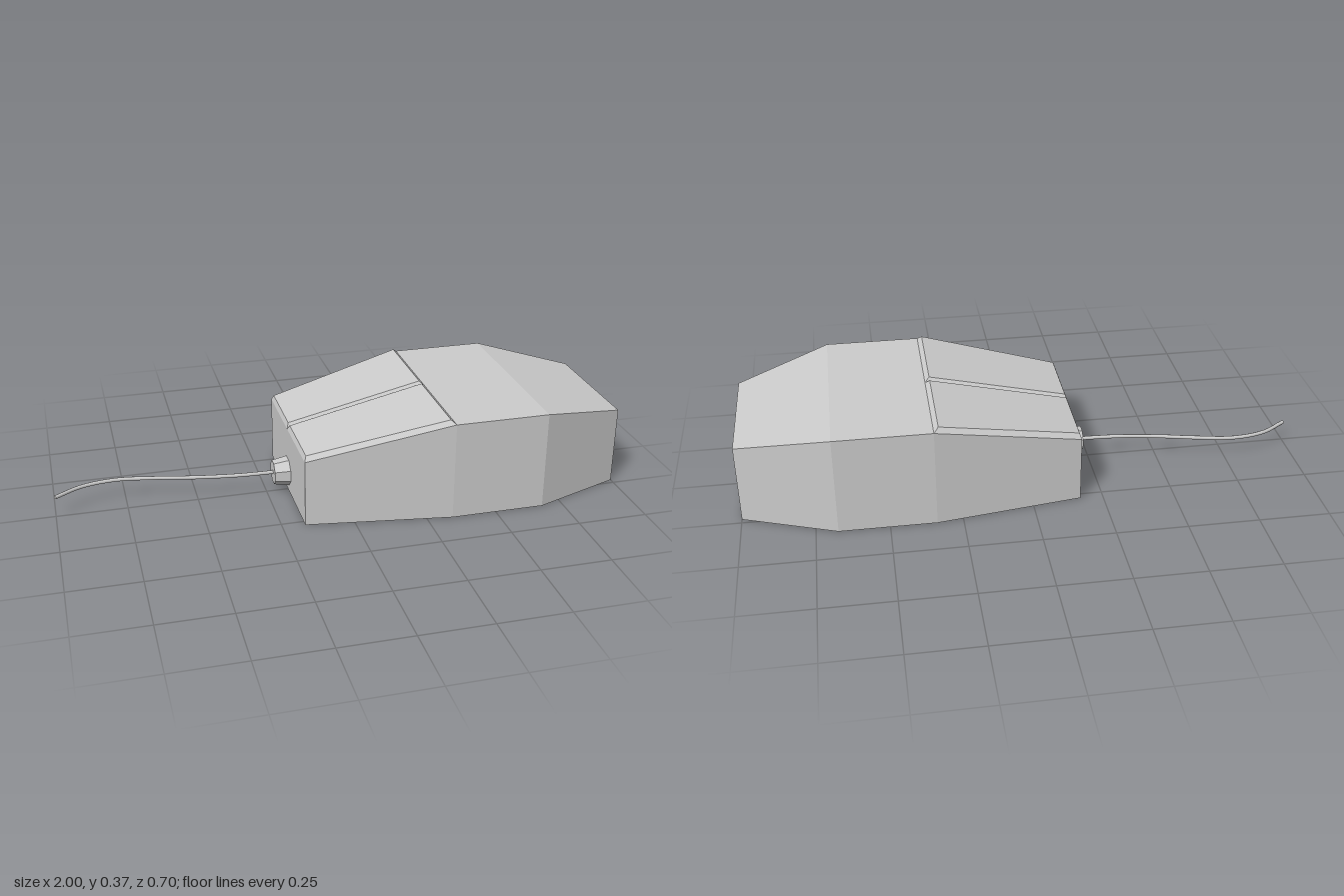
import * as THREE from 'three';

// Skin closed rings of corners with flat faces; rings run counter-clockwise seen from the last ring's end.
function loft(rings) {
  const pos = [];
  const tri = (a, b, c) => pos.push(...a, ...b, ...c);
  const quad = (a, b, c, d) => { tri(a, b, c); tri(a, c, d); };
  for (let i = 0; i < rings.length - 1; i++) {
    const r = rings[i], s = rings[i + 1];
    for (let k = 0; k < 4; k++) {
      const n = (k + 1) % 4;
      quad(r[k], r[n], s[n], s[k]);
    }
  }
  quad(...[...rings[0]].reverse());
  quad(...rings[rings.length - 1]);
  const g = new THREE.BufferGeometry();
  g.setAttribute('position', new THREE.Float32BufferAttribute(pos, 3));
  g.computeVertexNormals();
  return g;
}

export function createModel() {
  const model = new THREE.Group();
  model.name = 'computerMouse';
  const grey = new THREE.MeshStandardMaterial({ color: 0xcccccc });
  grey.name = 'lightGrey';
  const add = (name, geometry) => {
    const mesh = new THREE.Mesh(geometry, grey);
    mesh.name = name;
    model.add(mesh);
    return mesh;
  };

  // Body: [x, half width, top height]
  const sections = [[-0.17, 0.275, 0.24], [0.34, 0.35, 0.355], [0.675, 0.35, 0.355], [1, 0.229, 0.283]];
  add('body', loft(sections.map(([x, w, t]) => [[x, 0, w], [x, 0, -w], [x, t, -w], [x, t, w]])));

  // Two bevelled buttons on the sloping end
  for (const [name, s] of [['leftButton', 1], ['rightButton', -1]]) {
    const ring = (x0, y0, x1, y1, inner, w0, w1) => {
      const r = [[x0, y0, s * w0], [x1, y1, s * w1], [x1, y1, s * inner], [x0, y0, s * inner]];
      return s > 0 ? r : r.reverse();
    };
    add(name, loft([
      ring(-0.17, 0.24, 0.34, 0.355, 0, 0.275, 0.35),
      ring(-0.163, 0.259, 0.324, 0.369, 0.013, 0.262, 0.334),
    ]));
  }

  // Tapered octagonal cable collar
  const collarGeometry = new THREE.CylinderGeometry(0.044, 0.054, 0.055, 8).toNonIndexed();
  collarGeometry.rotateY(Math.PI / 8);
  collarGeometry.rotateZ(Math.PI / 2);
  collarGeometry.computeVertexNormals();
  add('cableCollar', collarGeometry).position.set(-0.1975, 0.075, 0);

  // Curved cable
  const path = new THREE.CatmullRomCurve3([
    [-0.997, 0], [-0.9, -0.06], [-0.78, -0.081], [-0.65, -0.061],
    [-0.5, -0.028], [-0.35, -0.006], [-0.2, 0],
  ].map(([x, z]) => new THREE.Vector3(x, 0.075, z)));
  add('cable', new THREE.TubeGeometry(path, 32, 0.007, 8));

  // Cap on the free end of the cable
  const cap = add('cableEnd', new THREE.CircleGeometry(0.007, 8));
  cap.position.copy(path.getPoint(0));
  cap.lookAt(cap.position.clone().sub(path.getTangent(0)));

  return model;
}
